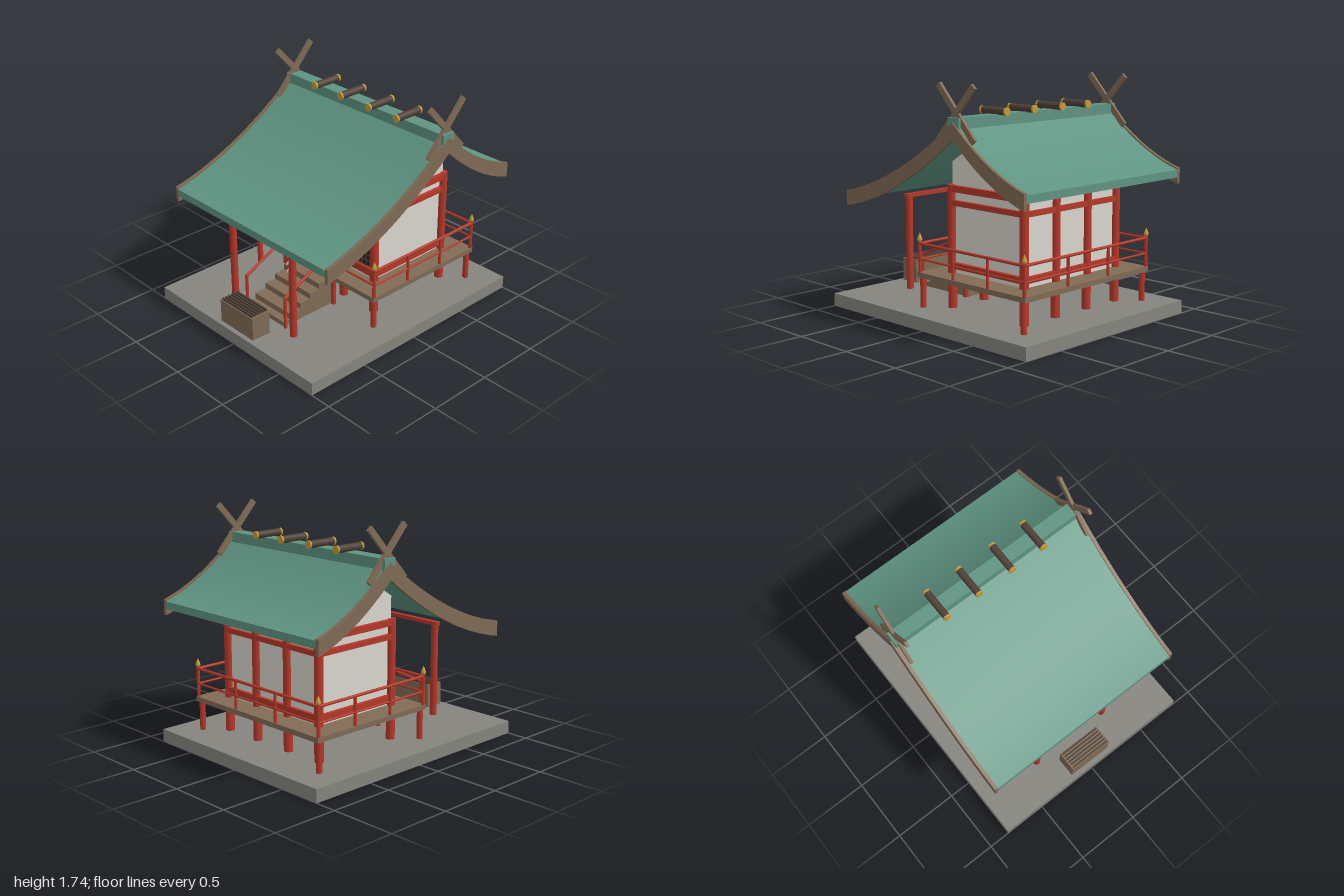
import * as THREE from 'three';
import { toCreasedNormals } from 'three/addons/utils/BufferGeometryUtils.js';

export function createModel() {
  const root = new THREE.Group();
  const paint = (name, color, side = THREE.FrontSide) => {
    const m = new THREE.MeshStandardMaterial({ color, side });
    m.name = name;
    return m;
  };
  const stone = paint('stone', 0x85847e), red = paint('vermilion', 0xb5382a), wood = paint('wood', 0x806b55);
  const darkWood = paint('dark wood', 0x4f4038), green = paint('copper green', 0x5f9482), gold = paint('gold', 0xc39b3a);
  const plaster = paint('plaster', 0xd9d6cd), black = paint('dark panel', 0x242322);
  const straw = paint('straw', 0x8a7a3c), paper = paint('paper', 0xf0eee8, THREE.DoubleSide);

  const add = (name, geo, mat, x = 0, y = 0, z = 0) => {
    const m = new THREE.Mesh(geo, mat);
    m.name = name;
    m.position.set(x, y, z);
    root.add(m);
    return m;
  };
  // Box given by its limits on each axis
  const box = (name, mat, x0, x1, y0, y1, z0, z1) =>
    add(name, new THREE.BoxGeometry(x1 - x0, y1 - y0, z1 - z0), mat, (x0 + x1) / 2, (y0 + y1) / 2, (z0 + z1) / 2);
  // Round rod between two points
  const rod = (name, mat, a, b, r, sides = 12) => {
    const p = new THREE.Vector3(...a), q = new THREE.Vector3(...b), d = q.clone().sub(p);
    const m = add(name, new THREE.CylinderGeometry(r, r, d.length(), sides), mat);
    m.position.copy(p).add(q).multiplyScalar(0.5);
    m.quaternion.setFromUnitVectors(new THREE.Vector3(0, 1, 0), d.normalize());
    return m;
  };
  const post = (name, x, z, y0, y1, r, sides = 16) => rod(name, red, [x, y0, z], [x, y1, z], r, sides);
  // Side outline drawn as (z, y), extruded across x
  const slab = (name, mat, points, width, x = 0) => {
    const g = new THREE.ExtrudeGeometry(new THREE.Shape(points), { depth: width, bevelEnabled: false });
    g.translate(0, 0, -width / 2).rotateY(-Math.PI / 2);
    return add(name, toCreasedNormals(g, 0.5), mat, x);
  };
  const V = (x, y) => new THREE.Vector2(x, y);

  // Sagging roof line from front eave over the ridge to the rear eave
  const ridgeZ = -0.305;
  const frontCurve = new THREE.QuadraticBezierCurve(V(0.84, 0.905), V(0.27, 1.03), V(ridgeZ, 1.485));
  const rearCurve = new THREE.QuadraticBezierCurve(V(ridgeZ, 1.485), V(-0.635, 1.18), V(-0.965, 1.083));
  const roofLine = [...frontCurve.getPoints(16), ...rearCurve.getPoints(12).slice(1)];
  const shifted = (dy) => roofLine.map((p) => V(p.x, p.y + dy));
  const band = (top, bottom) => [...shifted(top), ...shifted(bottom).reverse()];
  slab('roof', green, band(-0.012, -0.068), 1.59);
  for (const s of [-1, 1]) slab('bargeBoard', wood, band(0, -0.115), 0.026, s * 0.807);

  // Ridge with cross logs and crossed finials
  box('ridgeCap', green, -0.81, 0.81, 1.44, 1.516, ridgeZ - 0.052, ridgeZ + 0.052);
  for (const x of [-0.42, -0.145, 0.145, 0.42]) {
    rod('ridgeLog', darkWood, [x, 1.538, ridgeZ - 0.11], [x, 1.538, ridgeZ + 0.11], 0.027, 20);
    for (const s of [-1, 1])
      rod('ridgeLogCap', gold, [x, 1.538, ridgeZ + s * 0.109], [x, 1.538, ridgeZ + s * 0.124], 0.029, 20);
  }
  for (const x of [-0.779, 0.779])
    for (const s of [-1, 1]) {
      const arm = add('crossedFinial', new THREE.BoxGeometry(0.023, 0.5, 0.044), wood, x + s * 0.0005, 1.545, ridgeZ);
      arm.rotation.x = s * 0.742;
    }

  // Stone base, deck and its posts
  box('base', stone, -0.835, 0.835, 0, 0.097, -1, 1);
  box('deck', wood, -0.657, 0.657, 0.318, 0.355, -0.82, 0.245);
  for (const x of [-0.63, 0.63]) for (const z of [0.215, -0.785]) post('deckPost', x, z, 0.09, 0.32, 0.022);
  for (const x of [-0.21, 0.21]) post('deckPost', x, 0.215, 0.09, 0.32, 0.02);

  // Hall body: plaster up to the underside of the roof
  const zF = 0.065, zB = -0.645;
  const under = shifted(-0.05).filter((p) => p.x < zF && p.x > zB);
  const heightAt = (z) => {
    const i = roofLine.findIndex((p) => p.x < z), a = roofLine[i - 1], b = roofLine[i];
    return a.y + ((b.y - a.y) * (z - a.x)) / (b.x - a.x) - 0.05;
  };
  slab('hallWalls', plaster, [V(zF, 0.35), V(zF, heightAt(zF)), ...under, V(zB, heightAt(zB)), V(zB, 0.35)], 0.95);
  for (const x of [-0.48, -0.165, 0.165, 0.48])
    for (const z of [zF, zB]) post('hallPillar', x, z, 0.09, 0.995, 0.033, 20);

  // Three levels of beams around the hall
  for (const [y0, y1] of [[0.945, 0.992], [0.847, 0.885], [0.39, 0.435]]) {
    for (const z of [zF, zB]) box('crossBeam', red, -0.5, 0.5, y0, y1, z - 0.025, z + 0.025);
    for (const x of [-0.48, 0.48]) box('sideBeam', red, x - 0.025, x + 0.025, y0, y1, zB, zF);
  }

  // Latticed front panels and door bolt
  for (const [x0, x1] of [[-0.45, -0.195], [-0.135, 0.135], [0.195, 0.45]]) {
    box('frontPanel', black, x0, x1, 0.435, 0.85, 0.066, 0.074);
    const n = 6;
    for (let i = 0; i <= n; i++) {
      const x = x0 + ((x1 - x0) * i) / n;
      box('latticeUpright', darkWood, x - 0.003, x + 0.003, 0.435, 0.85, 0.073, 0.081);
    }
    for (let y = 0.455; y < 0.85; y += 0.045) box('latticeBar', darkWood, x0, x1, y - 0.003, y + 0.003, 0.073, 0.08);
  }
  box('doorBolt', gold, -0.03, 0.03, 0.618, 0.642, 0.075, 0.095);

  // Veranda railing
  const finialGeo = new THREE.LatheGeometry(
    [[0, 0], [0.012, 0], [0.012, 0.008], [0.019, 0.016], [0.018, 0.026], [0.011, 0.046], [0.0, 0.07]].map((p) => V(...p)), 16);
  const rX = 0.645, rF = 0.23, rB = -0.805, gate = 0.213;
  const railPost = (x, z) => {
    post('railPost', x, z, 0.35, 0.58, 0.013);
    add('postFinial', finialGeo, gold, x, 0.575, z);
  };
  const rails = (a, b) => {
    rod('topRail', red, [a[0], 0.567, a[1]], [b[0], 0.567, b[1]], 0.011);
    rod('middleRail', red, [a[0], 0.452, a[1]], [b[0], 0.452, b[1]], 0.008);
  };
  for (const s of [-1, 1]) {
    railPost(s * rX, rF);
    railPost(s * rX, rB);
    railPost(s * gate, rF);
    rails([s * rX, rF], [s * rX, rB]);
    rails([s * rX, rF], [s * gate, rF]);
    for (const z of [-0.115, -0.46]) post('railBaluster', s * rX, z, 0.35, 0.565, 0.011);
    post('railBaluster', s * gate, rB, 0.35, 0.565, 0.011);
    // Stair handrail and newel
    rod('stairRail', red, [s * gate, 0.565, rF], [s * gate, 0.345, 0.69], 0.011);
    post('stairNewel', s * gate, 0.69, 0.09, 0.355, 0.012);
  }
  rails([-rX, rB], [rX, rB]);

  // Stairs
  const steps = [V(0.2, 0.09), V(0.2, 0.313)];
  [0.345, 0.437, 0.53, 0.63, 0.69].forEach((z, i) => {
    const y = 0.313 - i * 0.0445;
    steps.push(V(z, y), V(z, i < 4 ? y - 0.0445 : 0.09));
  });
  slab('stairs', wood, steps, 0.39);

  // Porch pillars and lintel
  for (const x of [-0.325, 0.325]) post('porchPillar', x, 0.712, 0.09, 0.835, 0.027, 20);
  box('porchLintel', red, -0.36, 0.36, 0.808, 0.836, 0.692, 0.732);

  // Offering box with slatted top
  box('offeringBox', wood, -0.178, 0.178, 0.09, 0.277, 0.81, 0.965);
  for (let i = 0; i < 6; i++) {
    const z = 0.824 + i * 0.0255;
    box('offeringSlat', darkWood, -0.165, 0.165, 0.275, 0.294, z - 0.006, z + 0.006);
  }

  // Bell and its two-strand rope
  add('bell', new THREE.SphereGeometry(0.05, 24, 16), gold, 0, 0.875, 0.457);
  [red, paper].forEach((mat, k) => {
    const pts = [];
    for (let i = 0; i <= 80; i++) {
      const t = i / 80, a = t * Math.PI * 14 + k * Math.PI;
      pts.push(new THREE.Vector3(0.007 * Math.cos(a), 0.84 - 0.465 * t, 0.458 + 0.012 * t + 0.007 * Math.sin(a)));
    }
    add('bellRopeStrand', new THREE.TubeGeometry(new THREE.CatmullRomCurve3(pts), 160, 0.0085, 8), mat);
  });

  // Straw rope, thick in the middle, with folded paper streamers
  const rope = new THREE.LatheGeometry(
    [[0, -0.4], [0.012, -0.4], [0.02, -0.25], [0.03, 0], [0.02, 0.25], [0.012, 0.4], [0, 0.4]].map((p) => V(...p)), 16);
  add('strawRope', rope.rotateZ(Math.PI / 2), straw, 0, 0.92, 0.115);
  for (const x of [-0.27, -0.09, 0.09, 0.27])
    for (let i = 0; i < 4; i++) {
      const fold = add('paperStreamer', new THREE.PlaneGeometry(0.02, 0.045), paper, x + (i % 2 ? 0.007 : -0.007), 0.89 - i * 0.032, 0.112);
      fold.rotation.z = i % 2 ? 0.35 : -0.35;
    }
  return root;
}
